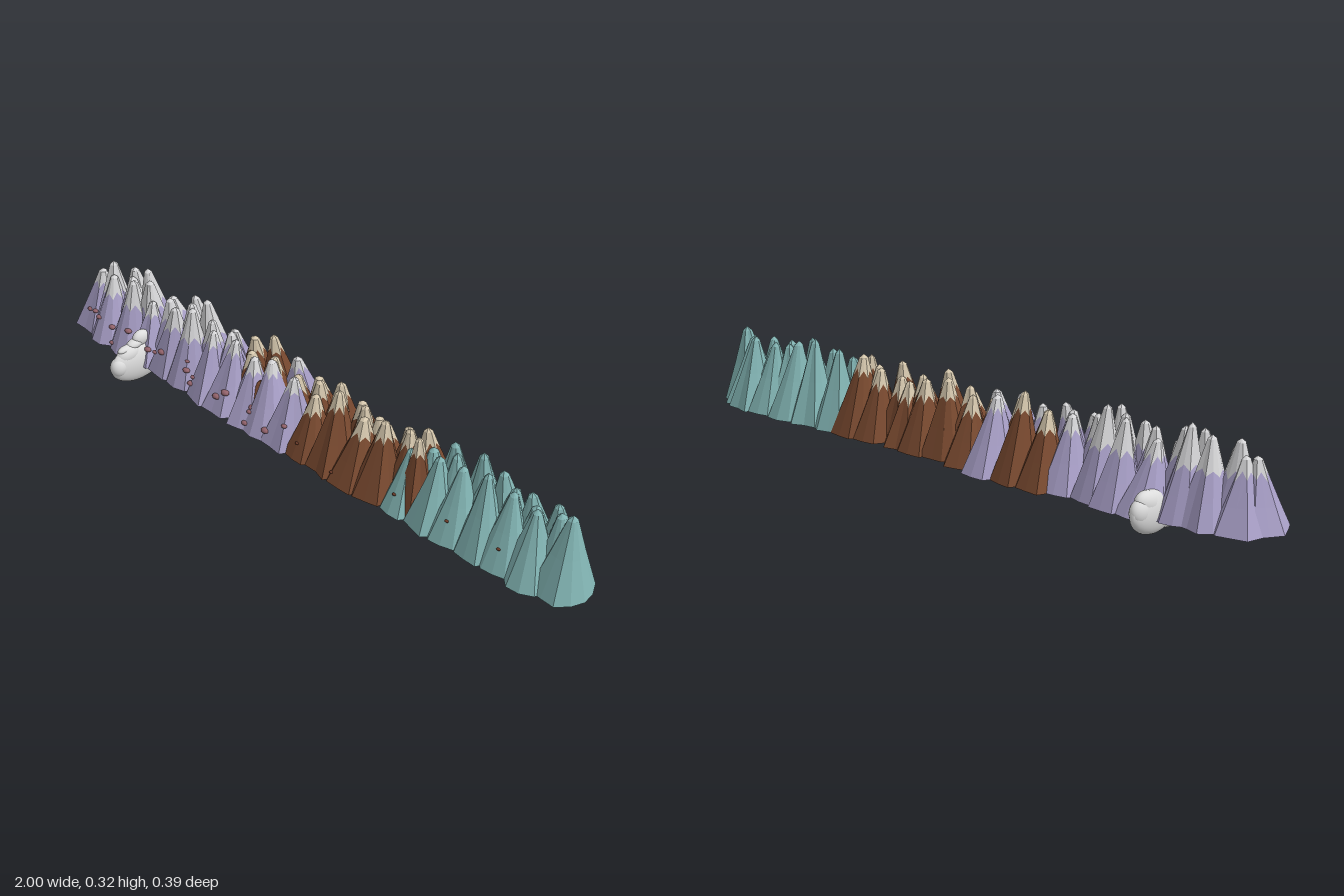
import * as THREE from 'three';

const BASE = 0.065;

export function createModel() {
  const root = new THREE.Group();
  const mat = (name, hex) => {
    const m = new THREE.MeshStandardMaterial({ color: hex });
    m.name = name;
    return m;
  };
  const lilac = mat('lilac rock', 0xa9a0c8), brown = mat('brown rock', 0x7a4a30), teal = mat('teal rock', 0x82b4b3);
  const snow = mat('snow', 0xd6d6d8), sand = mat('sandy cap', 0xd6c8ae), olive = mat('olive rock', 0x96927a);
  const cloudMat = mat('cloud', 0xdcdcdc), pink = mat('mauve stone', 0x94646c), rust = mat('rust stone', 0x6a3a28);

  let seed = 7;
  const rnd = () => (seed = (seed * 16807) % 2147483647) / 2147483647;
  const jitter = amount => (rnd() - 0.5) * amount;

  // Faceted skin through rings of points that run upward
  function skin(rings, closeBottom, material, name, parent) {
    const pos = [];
    const tri = (...p) => p.forEach(v => pos.push(v.x, v.y, v.z));
    for (let k = 0; k < rings.length - 1; k++) {
      const a = rings[k], b = rings[k + 1], n = a.length;
      for (let i = 0; i < n; i++) {
        const j = (i + 1) % n;
        tri(a[i], a[j], b[j]);
        tri(a[i], b[j], b[i]);
      }
    }
    if (closeBottom) {
      const r = rings[0];
      const c = r.reduce((s, v) => s.add(v), new THREE.Vector3()).divideScalar(r.length);
      r.forEach((v, i) => tri(c, r[(i + 1) % r.length], v));
    }
    const g = new THREE.BufferGeometry();
    g.setAttribute('position', new THREE.Float32BufferAttribute(pos, 3));
    g.computeVertexNormals();
    const mesh = new THREE.Mesh(g, material);
    mesh.name = name;
    parent.add(mesh);
  }

  // Fluted peak leaning to the middle ridge, with a ragged cap line
  const drop = new Map([[lilac, 0], [brown, 0.0004], [teal, 0.0002]]);
  function mountain(x, z, r, top, rock, cap, capDepth) {
    const group = new THREE.Group();
    group.name = 'mountain';
    const n = 12, h = top - BASE, ax = x + jitter(0.02), az = z * 0.55 + jitter(0.012), turn = jitter(0.5);
    const flute = Array.from({ length: n }, (_, i) => (i % 2 ? 0.92 : 1.03) + jitter(0.16));
    const zig = Array.from({ length: n }, (_, i) => (i % 2 ? 0.01 : -0.01) + jitter(0.012));
    const point = (i, t) => {
      const a = (i / n) * Math.PI * 2 + turn;
      const q = t >= 1 ? 0 : r * (0.12 + 0.88 * Math.pow(1 - t, 1.08)) * flute[i];
      return new THREE.Vector3(
        THREE.MathUtils.lerp(x, ax, t) + Math.cos(a) * q,
        BASE - (t === 0 ? drop.get(rock) : 0) + h * t,
        THREE.MathUtils.lerp(z, az, t) - Math.sin(a) * q);
    };
    const ring = (t, jag = 0) => flute.map((_, i) => point(i, Math.min(t + jag * zig[i] / h, 0.94)));
    const apex = flute.map((_, i) => point(i, 1));
    if (cap) {
      const s = 1 - capDepth / h;
      const line = ring(s, 1);
      skin([ring(0), ring(s * 0.5), line], true, rock, 'mountainSlope', group);
      skin([line, flute.map((_, i) => point(i, 0.955)), apex], false, cap, 'mountainCap', group);
    } else {
      skin([ring(0), ring(0.5), ring(0.94), apex], true, rock, 'mountainSlope', group);
    }
    root.add(group);
    return point;
  }

  // Three rows of peaks: summit heights, the x where each rock ends, and the base z along x
  const rows = [
    { start: -0.918, front: true,
      depthAt: x => (x < -0.86 ? 0.008 : x < -0.4 ? 0.032 : x > 0.86 ? 0.018 : 0.045),
      zones: [[0, lilac], [0.37, brown], [1, teal]],
      tops: [0.26, 0.27, 0.295, 0.25, 0.28, 0.31, 0.27, 0.28, 0.26, 0.28, 0.27,
        0.25, 0.3, 0.26, 0.29, 0.24, 0.27, 0.28, 0.3, 0.28, 0.275, 0.295] },
    { start: -0.89, front: false,
      depthAt: x => (x > 0 ? -0.036 : x < -0.86 ? -0.03 : (x > -0.64 && x < -0.5) || (x > -0.3 && x < -0.1) ? -0.077 : -0.052),
      zones: [[-0.32, lilac], [-0.16, brown], [-0.05, lilac], [0.46, brown], [1, teal]],
      tops: [0.26, 0.3, 0.32, 0.26, 0.3, 0.32, 0.27, 0.27, 0.31, 0.28, 0.26,
        0.29, 0.27, 0.25, 0.27, 0.3, 0.3, 0.315, 0.295, 0.275, 0.28] },
    { start: -0.86, front: false,
      depthAt: () => -0.006,
      zones: [[-0.26, lilac], [0.42, brown], [1, teal]],
      tops: Array.from({ length: 21 }, (_, i) => (i % 2 ? 0.255 : 0.275) + (i < 6 ? 0.025 : 0)) },
  ];
  const caps = new Map([[lilac, snow], [brown, sand]]);
  const stoneGeo = new THREE.IcosahedronGeometry(1, 1);
  for (const { start, front, depthAt, zones, tops } of rows) {
    tops.forEach((top, i) => {
      const isEnd = i === 0 || i === tops.length - 1;
      const x = start + i * 0.0874 + (isEnd ? 0 : jitter(0.026));
      const rock = zones.find(([end]) => x < end)[1];
      const capDepth = x < -0.4 ? top - 0.208 : rock === brown ? 0.056 : 0.046;
      const point = mountain(x, depthAt(x), (isEnd ? 0.08 : 0.074) + rnd() * 0.009, top, rock, caps.get(rock), capDepth);
      // Small stones set into the lower front slopes
      const count = !front ? 0 : rock === lilac ? 2 : i % 2;
      for (let k = 0; k < count; k++) {
        const stone = new THREE.Mesh(stoneGeo, rock === lilac ? pink : rust);
        stone.name = 'stone';
        stone.position.copy(point(8 + Math.floor(rnd() * 3), 0.08 + rnd() * 0.3));
        const s = rock === lilac ? 0.006 + rnd() * 0.005 : 0.005;
        stone.scale.set(s * 1.3, s * 0.8, s);
        root.add(stone);
      }
    });
  }

  // Brown spurs showing between the front peaks
  mountain(-0.172, 0.055, 0.062, 0.2, brown, null, 0);
  mountain(0.425, 0.032, 0.066, 0.29, brown, sand, 0.05);

  // Hanging rock under the range
  const hang = [[0, 0, 0], [0.3, 0.013, 0.014], [0.62, 0.036, 0.031], [1, 0.065, 0.05]].map(([w, y, d]) =>
    Array.from({ length: 16 }, (_, i) => {
      const a = (i / 16) * Math.PI * 2, q = 0.98 + jitter(0.28);
      return new THREE.Vector3(-0.525 + Math.cos(a) * 0.108 * w * q, y, -0.005 - Math.sin(a) * d * q);
    }));
  skin(hang, false, olive, 'hangingRock', root);

  // Cloud crossing the range: y, z, half height, half length, half thickness, tilt
  const cloud = new THREE.Group();
  cloud.name = 'cloud';
  const ball = new THREE.SphereGeometry(1, 24, 16);
  [[0.075, 0.09, 0.064, 0.105, 0.03, -0.12], [0.08, -0.095, 0.062, 0.1, 0.03, 0.15],
    [0.055, 0, 0.042, 0.09, 0.024, 0], [0.115, 0.125, 0.03, 0.045, 0.024, 0.1],
    [0.14, 0.1, 0.015, 0.03, 0.018, 0.1], [0.135, 0.135, 0.011, 0.03, 0.014, 0],
    [0.15, 0.075, 0.025, 0.03, 0.018, 0], [0.108, -0.12, 0.036, 0.055, 0.026, 0.4],
    [0.095, -0.155, 0.036, 0.038, 0.024, 0.4], [0.085, 0.165, 0.032, 0.03, 0.024, 0],
  ].forEach(([y, z, hy, hz, hx, tilt]) => {
    const puff = new THREE.Mesh(ball, cloudMat);
    puff.name = 'cloudPuff';
    puff.position.set(-0.66, y, z);
    puff.scale.set(hx, hy, hz);
    puff.rotation.x = tilt;
    cloud.add(puff);
  });
  root.add(cloud);

  return root;
}
